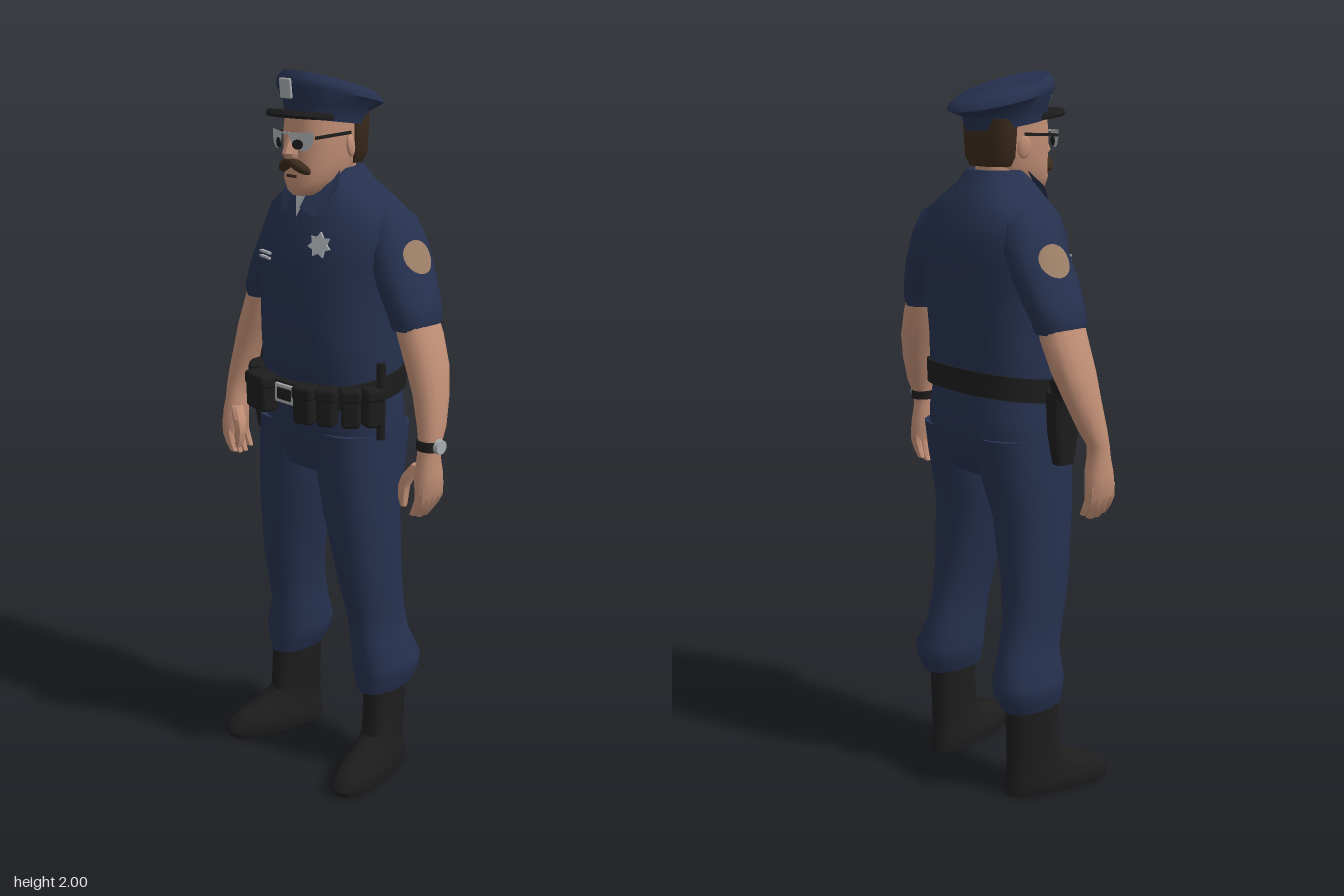
import * as THREE from 'three';
import { toCreasedNormals } from 'three/addons/utils/BufferGeometryUtils.js';
import { RoundedBoxGeometry } from 'three/addons/geometries/RoundedBoxGeometry.js';

const mat = (name, color, side = THREE.FrontSide) => {
  const m = new THREE.MeshStandardMaterial({ color, side });
  m.name = name;
  return m;
};
const M = {
  navy: mat('navy cloth', 0x26314f, THREE.DoubleSide),
  black: mat('black leather', 0x1d1d1d),
  skin: mat('skin', 0xc18f76),
  hair: mat('brown hair', 0x3b2a1c),
  silver: mat('silver', 0xa9adb0, THREE.DoubleSide),
  tan: mat('tan patch', 0x9c7f67, THREE.DoubleSide),
};

// superellipse exponent on a signed value
const sp = (v, p) => Math.sign(v) * Math.abs(v) ** p;

// Closed loft of horizontal rings: [y, centreX, radiusX, zFront, zBack, zWidest, tilt]
function loft(rings, s = 1, pow = 0.9, n = 20) {
  const pos = [], idx = [];
  const rows = [...rings].sort((a, b) => a[0] - b[0]);
  for (const [y, cx, rx, zf, zb, zm = (zf + zb) / 2, tilt = 0] of rows) {
    for (let j = 0; j < n; j++) {
      const a = (j / n) * Math.PI * 2, sn = sp(Math.sin(a), pow);
      const z = zm + (sn > 0 ? zf - zm : zm - zb) * sn;
      pos.push(s * cx + rx * sp(Math.cos(a), pow), y + tilt * z, z);
    }
  }
  for (let i = 0; i < rows.length - 1; i++) for (let j = 0; j < n; j++) {
    const a = i * n + j, c = i * n + (j + 1) % n;
    idx.push(a, a + n, c, a + n, c + n, c);
  }
  const cap = (i, top) => {
    const [y, cx, , zf, zb, , tilt = 0] = rows[i], zc = (zf + zb) / 2, k = pos.length / 3;
    pos.push(s * cx, y + tilt * zc, zc);
    for (let j = 0; j < n; j++) {
      const a = i * n + j, b = i * n + (j + 1) % n;
      top ? idx.push(k, b, a) : idx.push(k, a, b);
    }
  };
  cap(0, false);
  cap(rows.length - 1, true);
  const g = new THREE.BufferGeometry();
  g.setAttribute('position', new THREE.Float32BufferAttribute(pos, 3));
  g.setIndex(idx);
  return toCreasedNormals(g, 0.75);
}

// Flat polygon from corner points
function plate(pts) {
  const g = new THREE.BufferGeometry(), idx = [];
  g.setAttribute('position', new THREE.Float32BufferAttribute(pts.flat(), 3));
  for (let i = 1; i < pts.length - 1; i++) idx.push(0, i, i + 1);
  g.setIndex(idx);
  g.computeVertexNormals();
  return g;
}

// Outer x of a lofted limb at height y and depth z
function outerX(rings, y, z, pow) {
  const r = [...rings].sort((a, b) => a[0] - b[0]);
  let i = 0;
  while (i < r.length - 2 && r[i + 1][0] < y) i++;
  const t = (y - r[i][0]) / (r[i + 1][0] - r[i][0]);
  const [, cx, rx, zf, zb] = r[i].map((v, k) => v + (r[i + 1][k] - v) * t);
  const q = Math.min(1, Math.abs((z - (zf + zb) / 2) / ((zf - zb) / 2)));
  return cx + rx * Math.max(0, 1 - q ** (2 / pow)) ** (pow / 2);
}

export function createModel() {
  const root = new THREE.Group();
  root.name = 'officer';
  const add = (name, geo, m, p = [0, 0, 0], r = [0, 0, 0], sc = [1, 1, 1]) => {
    const mesh = new THREE.Mesh(geo, m);
    mesh.name = name;
    mesh.position.set(...p);
    mesh.rotation.set(...r);
    mesh.scale.set(...sc);
    root.add(mesh);
    return mesh;
  };
  const box = (w, h, d, r = 0.01) => new RoundedBoxGeometry(w, h, d, 2, r);
  const ball = new THREE.SphereGeometry(1, 16, 10);

  // Shirt, collar and undershirt
  add('shirt', loft([
    [1.13, 0, 0.2, 0.125, -0.172, -0.03], [1.2, 0, 0.208, 0.145, -0.182, -0.03],
    [1.3, 0, 0.208, 0.152, -0.185, -0.03], [1.4, 0, 0.21, 0.15, -0.195, -0.03],
    [1.5, 0, 0.218, 0.14, -0.2, -0.045], [1.57, 0, 0.232, 0.125, -0.195, -0.06],
    [1.63, 0, 0.215, 0.1, -0.175, -0.06], [1.67, 0, 0.16, 0.083, -0.155, -0.05],
    [1.71, 0, 0.1, 0.066, -0.13], [1.745, 0, 0.076, 0.035, -0.105],
  ], 1, 0.85, 32), M.navy);
  add('undershirt', plate([[-0.03, 1.7, 0.085], [0, 1.62, 0.115], [0.03, 1.7, 0.085]]), M.silver);
  for (const s of [1, -1]) {
    add('collarFlap', plate([[0.07, 1.745, 0.02], [0.03, 1.705, 0.088], [0.01, 1.645, 0.112],
      [0.068, 1.627, 0.108], [0.1, 1.7, 0.058]].map(([x, y, z]) => [s * x, y, z])), M.navy);
  }

  // Trousers
  add('hips', loft([
    [0.92, 0, 0.17, 0.1, -0.13], [0.96, 0, 0.213, 0.112, -0.158], [1.02, 0, 0.218, 0.122, -0.182],
    [1.09, 0, 0.21, 0.13, -0.186], [1.17, 0, 0.2, 0.125, -0.175],
  ], 1, 0.85, 28), M.navy);

  const sleeve = [
    [1.65, 0.165, 0.04, -0.02, -0.1], [1.625, 0.18, 0.055, 0.01, -0.135], [1.56, 0.2, 0.065, 0.03, -0.155],
    [1.48, 0.237, 0.066, 0.038, -0.15], [1.42, 0.265, 0.063, 0.036, -0.14],
    [1.37, 0.287, 0.06, 0.03, -0.125], [1.345, 0.287, 0.053, 0.025, -0.118],
  ];
  const side = { '1': 'left', '-1': 'right' };
  for (const s of [1, -1]) {
    const nm = part => side[s] + part;
    add(nm('TrouserLeg'), loft([
      [1.04, 0.115, 0.1, 0.115, -0.172], [0.95, 0.115, 0.108, 0.114, -0.155], [0.8, 0.133, 0.093, 0.105, -0.12],
      [0.6, 0.157, 0.074, 0.08, -0.115], [0.5, 0.165, 0.063, 0.06, -0.125], [0.42, 0.168, 0.059, 0.05, -0.145],
      [0.345, 0.183, 0.078, 0.046, -0.17], [0.31, 0.184, 0.074, 0.045, -0.168], [0.26, 0.186, 0.053, 0.04, -0.142],
    ], s, 0.85), M.navy);

    // Boot, toe turned outward
    add(nm('Boot'), loft([
      [0, 0, 0.055, 0.235, -0.083], [0.02, 0, 0.06, 0.245, -0.083], [0.045, 0, 0.058, 0.235, -0.08],
      [0.07, 0, 0.052, 0.195, -0.078], [0.095, 0, 0.047, 0.125, -0.076], [0.125, 0, 0.046, 0.085, -0.076],
      [0.3, 0, 0.047, 0.075, -0.08],
    ], 1, 0.8), M.black, [s * 0.187, 0, -0.05], [0, s * 0.22, 0]);

    // Arm, hand and sleeve
    add(nm('Sleeve'), loft(sleeve, s, 0.9), M.navy);
    add(nm('Arm'), loft([
      [1.42, 0.272, 0.047, 0.02, -0.11], [1.33, 0.304, 0.053, 0.02, -0.115], [1.25, 0.336, 0.051, 0.02, -0.105],
      [1.18, 0.36, 0.043, 0.02, -0.085], [1.1, 0.381, 0.035, 0.026, -0.055], [1.055, 0.389, 0.029, 0.03, -0.03],
      [1.02, 0.389, 0.029, 0.036, -0.03], [0.98, 0.39, 0.033, 0.045, -0.037], [0.94, 0.393, 0.03, 0.05, -0.04],
      [0.915, 0.392, 0.024, 0.048, -0.038],
    ], s, 0.9, 16), M.skin);
    for (let f = 0; f < 4; f++) {
      const z = -0.027 + f * 0.021, d = [0.012, 0, 0, 0.008][f];
      add(nm('Finger'), loft([
        [0.95, 0.394, 0.02, z + 0.012, z - 0.012], [0.91, 0.393, 0.019, z + 0.012, z - 0.012],
        [0.875 + d, 0.382, 0.017, z + 0.011, z - 0.011], [0.852 + d, 0.368, 0.012, z + 0.009, z - 0.009],
      ], s, 0.9, 8), M.skin);
    }
    add(nm('Thumb'), loft([
      [1.0, 0.368, 0.016, 0.04, 0.0], [0.965, 0.346, 0.02, 0.05, 0.012], [0.935, 0.334, 0.016, 0.053, 0.022],
      [0.9, 0.335, 0.013, 0.054, 0.028], [0.88, 0.339, 0.008, 0.052, 0.034],
    ], s, 0.9, 8), M.skin);

    // Round patch laid on the sleeve
    const patch = new THREE.RingGeometry(0, 1, 20, 5), p = patch.attributes.position;
    for (let i = 0; i < p.count; i++) {
      const y = 1.53 + p.getY(i) * 0.042, z = -0.06 + p.getX(i) * 0.05;
      p.setXYZ(i, s * (outerX(sleeve, y, z, 0.9) + 0.004), y, z);
    }
    patch.computeVertexNormals();
    add(nm('SleevePatch'), patch, M.tan);

    // Ears, glasses and moustache halves
    add(nm('Ear'), ball, M.skin, [s * 0.086, 1.805, -0.003], [0.15, s * 0.35, 0], [0.009, 0.03, 0.019]);
    const lens = new THREE.Shape();
    lens.moveTo(-0.034, 0.02);
    lens.lineTo(0.036, 0.022);
    lens.quadraticCurveTo(0.042, -0.016, 0.012, -0.026);
    lens.quadraticCurveTo(-0.026, -0.03, -0.034, 0.02);
    const lensGeo = new THREE.ShapeGeometry(lens, 6);
    lensGeo.scale(s, 1, 1);
    add(nm('Lens'), lensGeo, M.silver, [s * 0.044, 1.825, 0.137], [0, s * 0.4, 0]);
    add(nm('LensShade'), new THREE.CylinderGeometry(0.013, 0.013, 0.004, 12), M.black,
      [s * 0.036, 1.815, 0.14], [Math.PI / 2, 0, -s * 0.4], [1.2, 1, 1]);
    add(nm('GlassesArm'), new THREE.BoxGeometry(0.005, 0.008, 0.12), M.black, [s * 0.084, 1.836, 0.058], [0.05, -s * 0.06, 0]);
    add(nm('Moustache'), ball, M.hair, [s * 0.025, 1.757, 0.126], [0, s * 0.45, -s * 0.5], [0.037, 0.014, 0.017]);
  }

  // Head
  add('neck', loft([[1.62, 0, 0.065, 0.05, -0.09], [1.8, 0, 0.06, 0.06, -0.08]]), M.skin);
  add('head', loft([
    [1.678, 0, 0.03, 0.115, 0.03], [1.69, 0, 0.047, 0.125, 0], [1.72, 0, 0.066, 0.13, -0.04],
    [1.755, 0, 0.075, 0.125, -0.07], [1.8, 0, 0.081, 0.126, -0.085], [1.84, 0, 0.083, 0.125, -0.09],
    [1.89, 0, 0.083, 0.118, -0.09],
  ], 1, 0.8, 24), M.skin);
  add('nose', loft([
    [1.84, 0, 0.011, 0.135, 0.09], [1.79, 0, 0.02, 0.158, 0.09], [1.772, 0, 0.017, 0.142, 0.09],
  ], 1, 0.9, 10), M.skin);
  add('mouth', new THREE.BoxGeometry(0.034, 0.007, 0.006), M.hair, [0, 1.73, 0.128]);
  add('glassesBridge', new THREE.BoxGeometry(0.03, 0.005, 0.005), M.silver, [0, 1.842, 0.146]);
  add('hair', loft([
    [1.755, 0, 0.068, -0.02, -0.09, -0.04], [1.78, 0, 0.084, -0.016, -0.097, -0.04], [1.88, 0, 0.088, -0.005, -0.102, -0.04],
  ], 1, 0.7), M.hair);

  // Peaked cap
  add('cap', loft([
    [1.863, 0, 0.093, 0.122, -0.11, 0, 0.14], [1.902, 0, 0.098, 0.127, -0.122, 0, 0.17],
    [1.933, 0, 0.122, 0.142, -0.166, -0.01, 0.22], [1.948, 0, 0.12, 0.14, -0.163, -0.01, 0.26],
    [1.964, 0, 0.104, 0.128, -0.14, -0.01, 0.28],
  ], 1, 0.95, 28), M.navy);
  add('capVisor', loft([
    [1.867, 0, 0.084, 0.178, 0.0, 0.07, 0.1], [1.874, 0, 0.087, 0.184, 0.0, 0.07, 0.1],
    [1.885, 0, 0.084, 0.176, 0.0, 0.07, 0.1],
  ], 1, 0.8), M.black);
  add('capBadge', box(0.042, 0.052, 0.009, 0.004), M.silver, [0, 1.955, 0.147], [0.1, 0, 0]);

  // Chest badge and name bars
  const star = new THREE.Shape();
  for (let i = 0; i < 14; i++) {
    const r = i % 2 ? 0.022 : 0.034, a = (i / 14) * Math.PI * 2 + Math.PI / 2;
    star[i ? 'lineTo' : 'moveTo'](r * Math.cos(a), r * Math.sin(a));
  }
  add('chestBadge', new THREE.ExtrudeGeometry(star, { depth: 0.008, bevelEnabled: false }), M.silver,
    [0.1, 1.56, 0.122], [-0.22, 0.28, 0]);
  for (const y of [1.514, 1.5]) add('nameBar', new THREE.BoxGeometry(0.055, 0.006, 0.009), M.silver, [-0.11, y, 0.126], [0, -0.26, 0]);

  // Duty belt with its kit
  add('belt', loft([
    [1.133, 0, 0.213, 0.152, -0.192, -0.03, -0.15], [1.198, 0, 0.216, 0.157, -0.192, -0.03, -0.15],
  ], 1, 0.85, 32), M.black);
  add('buckle', box(0.078, 0.054, 0.012, 0.004), M.silver, [0, 1.142, 0.157]);
  add('buckleInset', box(0.056, 0.034, 0.012, 0.004), M.black, [0, 1.142, 0.16]);
  for (const [x, z, w, h, r] of [
    [-0.097, 0.157, 0.095, 0.1, -0.2], [-0.185, 0.088, 0.05, 0.09, -0.8], [0.08, 0.157, 0.057, 0.105, 0.3],
    [0.136, 0.13, 0.05, 0.105, 0.5], [0.185, 0.09, 0.052, 0.11, 0.75], [0.218, 0.045, 0.05, 0.11, 1.2],
  ]) {
    add('pouch', box(w, h, 0.055, 0.012), M.black, [x, 1.13, z], [0, r, 0]);
    add('pouchFlap', box(w + 0.006, 0.04, 0.062, 0.012), M.black, [x, 1.165, z], [0, r, 0]);
  }
  add('baton', new THREE.CylinderGeometry(0.013, 0.012, 0.21, 12), M.black, [0.238, 1.145, 0.03]);
  add('holster', loft([
    [0.968, -0.232, 0.022, 0.045, -0.012], [1.06, -0.232, 0.027, 0.06, -0.03], [1.17, -0.232, 0.03, 0.065, -0.035],
  ], 1, 0.6, 16), M.black);
  add('pistolGrip', box(0.035, 0.075, 0.05, 0.012), M.black, [-0.25, 1.185, -0.01], [-0.4, 0, 0.15]);

  // Wristwatch
  add('watchStrap', loft([[1.042, 0.39, 0.034, 0.036, -0.036], [1.068, 0.388, 0.034, 0.036, -0.037]], 1, 0.9, 16), M.black);
  add('watchFace', new THREE.CylinderGeometry(0.019, 0.021, 0.012, 16), M.silver, [0.425, 1.056, 0], [0, 0, -Math.PI / 2]);

  return root;
}
